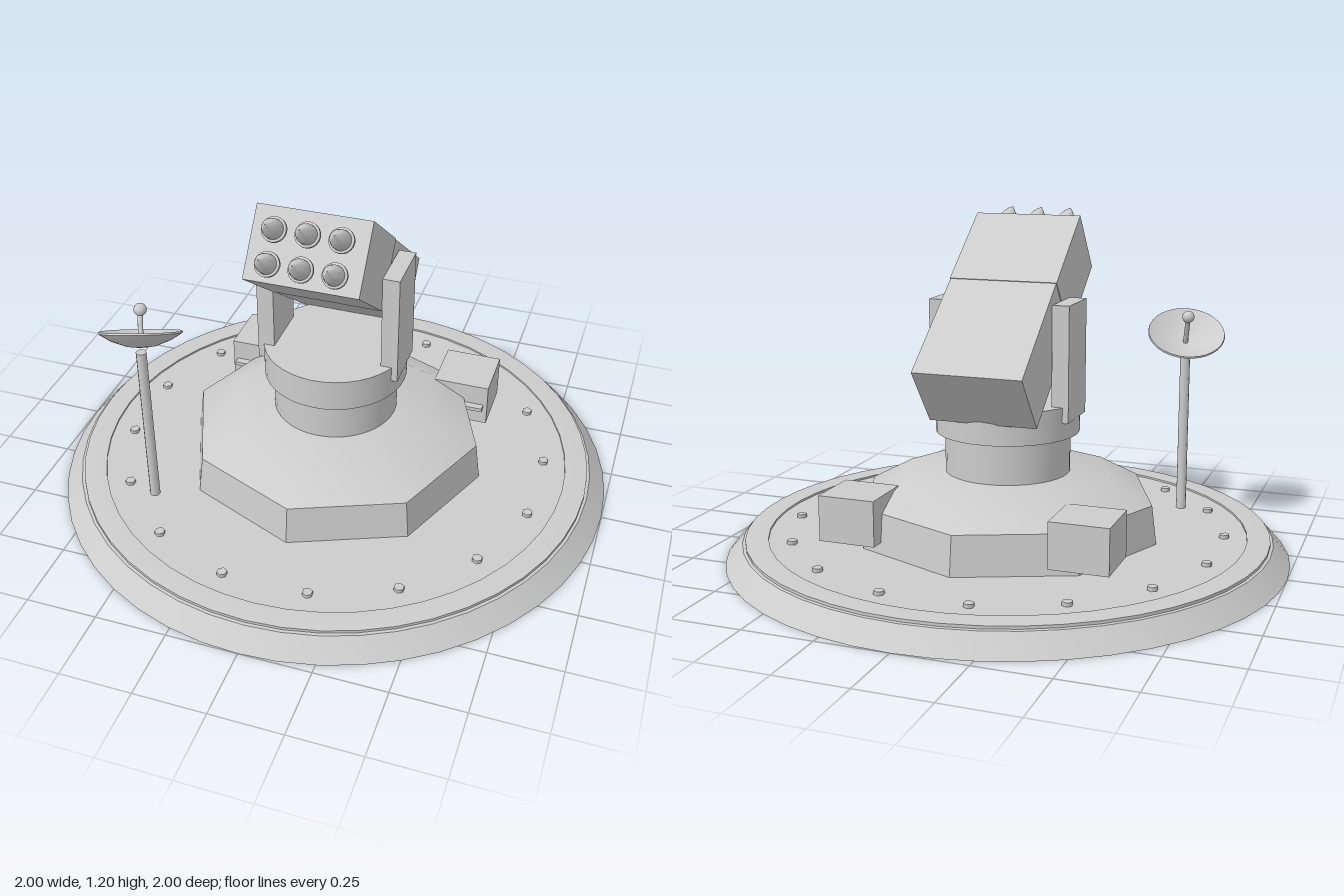
import * as THREE from 'three';
import { toCreasedNormals } from 'three/addons/utils/BufferGeometryUtils.js';

const grey = new THREE.MeshStandardMaterial({ color: 0xcccccc });
grey.name = 'grey';

function add(parent, name, geometry, x = 0, y = 0, z = 0) {
  const mesh = new THREE.Mesh(geometry, grey);
  mesh.name = name;
  mesh.position.set(x, y, z);
  parent.add(mesh);
  return mesh;
}

// Turned solid; profile runs from the bottom outward and up
function lathe(profile, sides, crease = 0.6) {
  const points = profile.map(([r, y]) => new THREE.Vector2(r, y));
  return toCreasedNormals(new THREE.LatheGeometry(points, sides), crease);
}

const box = (w, h, d) => new THREE.BoxGeometry(w, h, d);
const cylinder = (r, h, sides) => new THREE.CylinderGeometry(r, r, h, sides);

export function createModel() {
  const model = new THREE.Group();
  model.name = 'missileTurret';

  // Round ground plate with a raised rim and recessed deck
  add(model, 'basePlate', lathe([
    [0, 0], [1, 0], [0.94, 0.068], [0.93, 0.07], [0.93, 0.08],
    [0.85, 0.08], [0.85, 0.073], [0, 0.073],
  ], 48));

  // Ring of hexagonal bolts
  for (let i = 0; i < 16; i++) {
    const a = (i + 0.5) * Math.PI / 8;
    add(model, 'bolt', cylinder(0.018, 0.016, 6), 0.77 * Math.sin(a), 0.078, 0.77 * Math.cos(a));
  }

  // Eight-sided plinth: faceted wall and softly shaded roof
  const wall = new THREE.CylinderGeometry(0.53, 0.548, 0.14, 8, 1, true).toNonIndexed();
  wall.computeVertexNormals();
  add(model, 'plinthWall', wall, 0, 0.14, 0);
  add(model, 'plinthRoof', lathe([[0.53, 0.21], [0.375, 0.293], [0, 0.297]], 8, 1.2));

  // Turntable
  add(model, 'neck', cylinder(0.222, 0.17, 40), 0, 0.365, 0);
  add(model, 'collar', cylinder(0.255, 0.115, 40), 0, 0.4975, 0);

  // Support arms and equipment boxes on both sides
  for (const s of [-1, 1]) {
    add(model, 'supportArm', box(0.06, 0.405, 0.2), s * 0.225, 0.7025, 0);
    add(model, 'equipmentBox', box(0.205, 0.16, 0.205), s * 0.408, 0.192, -0.367);
    add(model, 'boxLatch', box(0.075, 0.014, 0.03), s * 0.458, 0.187, -0.252);
  }

  // Tilted launcher, with its origin at the centre of the muzzle face
  const launcher = new THREE.Group();
  launcher.name = 'launcher';
  launcher.position.set(0, 1.0825, 0.2875);
  launcher.rotation.x = -0.661;
  model.add(launcher);
  add(launcher, 'frontCasing', box(0.39, 0.249, 0.336), 0, 0, -0.168);
  add(launcher, 'rearCasing', box(0.386, 0.244, 0.437), 0, 0, -0.5545);

  // Two rows of three missiles
  const missile = lathe([
    [0, 0.022], [0.042, 0.022], [0.042, 0.034], [0.034, 0.037],
    [0.033, 0.055], [0.027, 0.078], [0.015, 0.103], [0, 0.127],
  ], 20);
  missile.rotateX(Math.PI / 2);
  for (const y of [0.045, -0.067]) {
    for (const x of [-0.112, 0, 0.112]) add(launcher, 'missile', missile, x, y, 0);
  }

  // Radar mast
  add(model, 'radarMast', cylinder(0.018, 0.615, 10), -0.533, 0.3775, 0.45);

  // Tilted radar dish with feed rod and ball
  const radar = new THREE.Group();
  radar.name = 'radar';
  radar.position.set(-0.532, 0.702, 0.45);
  const aim = new THREE.Vector3(-0.17, 0.86, -0.48).normalize();
  radar.quaternion.setFromUnitVectors(new THREE.Vector3(0, 1, 0), aim);
  model.add(radar);
  add(radar, 'radarDish', lathe([
    [0, 0], [0.05, 0.006], [0.1, 0.025], [0.14, 0.05],
    [0.138, 0.056], [0.1, 0.033], [0.05, 0.014], [0, 0.008],
  ], 32));
  add(radar, 'feedRod', cylinder(0.009, 0.12, 10), 0, 0.065, 0);
  add(radar, 'feedBall', new THREE.SphereGeometry(0.022, 16, 12), 0, 0.128, 0);

  return model;
}
